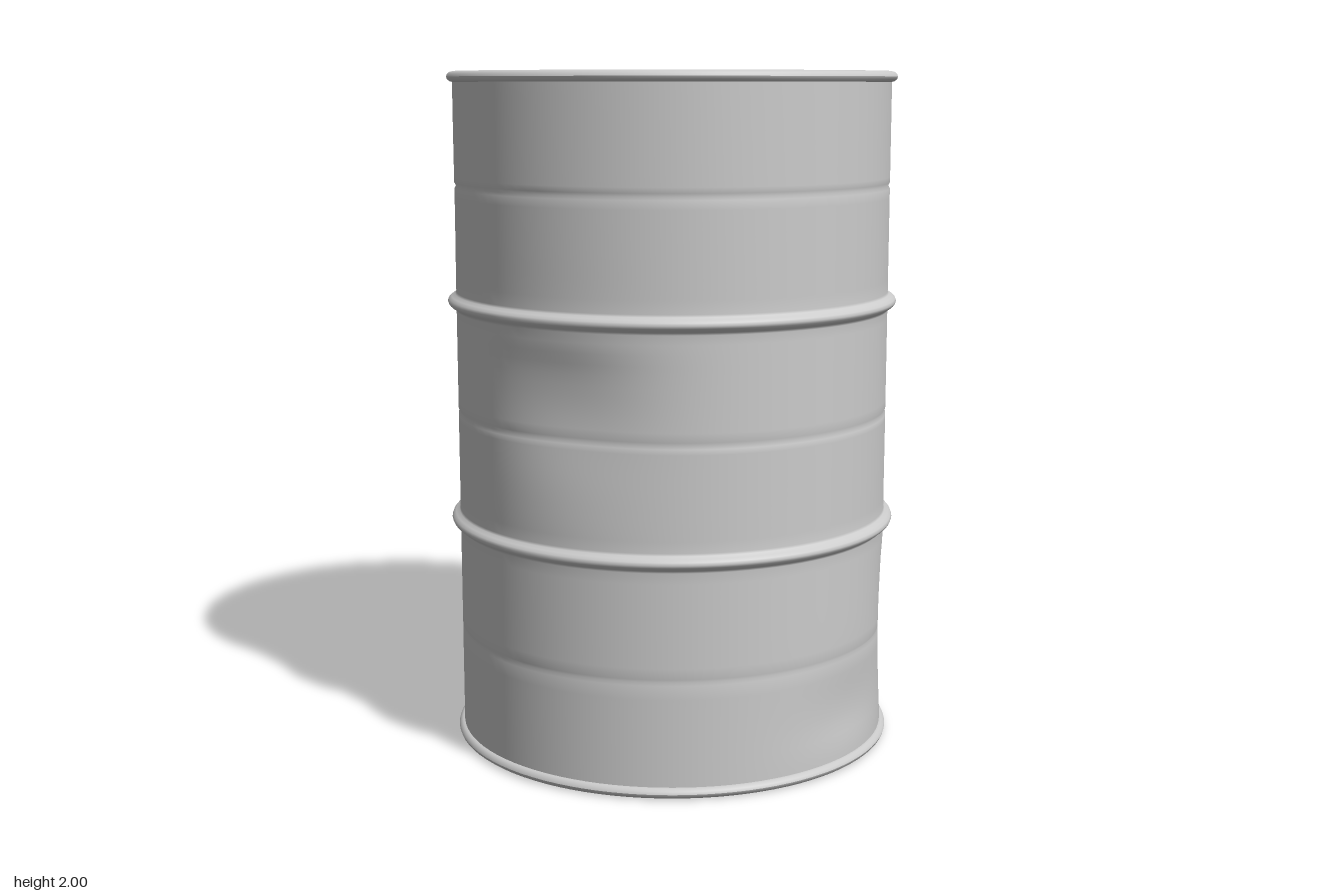
import * as THREE from 'three';
import { mergeVertices, toCreasedNormals } from 'three/addons/utils/BufferGeometryUtils.js';

const SEGMENTS = 96;
const R = 0.645;
const LID_Y = 1.975;
const RIBS = [0.675, 1.33];
const GROOVES = [0.335, 1.0, 1.67];
const material = new THREE.MeshStandardMaterial({ color: 0xcccccc, side: THREE.DoubleSide });

function addMesh(parent, name, geometry) {
  const mesh = new THREE.Mesh(geometry, material);
  mesh.name = name;
  parent.add(mesh);
  return mesh;
}

// Dents: angle from +z towards +x, height, depth, angular spread, vertical spread
const DENTS = [
  [1.5, 0.36, 0.028, 0.28, 0.15],
  [0.6, 0.18, 0.01, 0.22, 0.08],
  [-0.78, 1.08, 0.025, 0.25, 0.13],
  [2.4, 1.55, 0.012, 0.25, 0.13],
  [-2.3, 1.6, 0.008, 0.25, 0.1],
];

function dentDepth(angle, y) {
  let depth = 0;
  for (const [a, h, d, sa, sy] of DENTS) {
    const da = Math.atan2(Math.sin(angle - a), Math.cos(angle - a)) / sa;
    const dy = (y - h) / sy;
    depth += d * Math.exp(-0.5 * (da * da + dy * dy));
  }
  // Ribs and rims stay stiff
  const stiff = [0, ...RIBS, 2].reduce((m, s) => Math.min(m, Math.abs(y - s)), 1);
  return depth * THREE.MathUtils.smoothstep(stiff, 0.02, 0.14);
}

// Thin wall with two rolled ribs and three shallow pressed lines
function shellGeometry() {
  const profile = [];
  for (let y = 0.015; y < 1.985; y += 0.03) {
    const nearRib = RIBS.some((c) => Math.abs(y - c) < 0.04);
    const nearGroove = GROOVES.some((c) => Math.abs(y - c) < 0.02);
    if (!nearRib && !nearGroove) profile.push([R, y]);
  }
  for (const c of RIBS) {
    for (const [dr, dy] of [[0, 0.028], [0.003, 0.021], [0.014, 0.015], [0.022, 0.008]]) {
      profile.push([R + dr, c - dy], [R + dr, c + dy]);
    }
    profile.push([R + 0.025, c]);
  }
  for (const c of GROOVES) {
    profile.push([R, c - 0.009], [R - 0.005, c], [R, c + 0.009]);
  }
  profile.push([R, 1.985]);
  profile.sort((a, b) => a[1] - b[1]);

  let geometry = new THREE.LatheGeometry(profile.map((p) => new THREE.Vector2(...p)), SEGMENTS);
  const pos = geometry.attributes.position;
  for (let i = 0; i < pos.count; i++) {
    const x = pos.getX(i), y = pos.getY(i), z = pos.getZ(i);
    const r = Math.hypot(x, z);
    const k = (r - dentDepth(Math.atan2(x, z), y)) / r;
    pos.setX(i, x * k);
    pos.setZ(i, z * k);
  }
  geometry.deleteAttribute('uv');
  geometry.deleteAttribute('normal');
  geometry = mergeVertices(geometry, 1e-5);
  geometry.computeVertexNormals();
  return geometry;
}

// Rolled edge with an oval section
function rimGeometry() {
  const points = [];
  for (let i = 0; i <= 12; i++) {
    const a = (i / 12) * Math.PI * 2;
    points.push(new THREE.Vector2(0.641 + 0.021 * Math.cos(a), 0.016 * Math.sin(a)));
  }
  return new THREE.LatheGeometry(points, SEGMENTS);
}

// Outline of a slot, or of a cross when arms is 4
function slotPath(arms, length, w) {
  const points = [];
  for (let i = 0; i < arms; i++) {
    const a = (i / arms) * Math.PI * 2 + Math.PI / 2;
    const corners = arms === 4 ? [[length, -w], [length, w], [w, w]] : [[length, -w], [length, w]];
    for (const [u, v] of corners) {
      points.push(new THREE.Vector2(u * Math.cos(a) - v * Math.sin(a), u * Math.sin(a) + v * Math.cos(a)));
    }
  }
  return new THREE.Path(points.reverse());
}

// Screw plug: slotted disc with a bevelled edge, over a slot floor
function makePlug(name, radius, arms, slotLength, slotWidth, z) {
  const plug = new THREE.Group();
  plug.name = name;
  const shape = new THREE.Shape().absarc(0, 0, radius - 0.003, 0, Math.PI * 2);
  shape.holes.push(slotPath(arms, slotLength, slotWidth));
  const cap = new THREE.ExtrudeGeometry(shape, {
    depth: 0.012, curveSegments: 40, bevelThickness: 0.003, bevelSize: 0.003, bevelSegments: 1,
  });
  cap.rotateX(-Math.PI / 2);
  addMesh(plug, name + 'Cap', toCreasedNormals(cap, 0.5));
  const floor = new THREE.CircleGeometry(radius - 0.004, 40).rotateX(-Math.PI / 2);
  addMesh(plug, name + 'SlotFloor', floor).position.y = 0.003;
  plug.position.set(0, LID_Y, z);
  plug.rotation.y = 0.36;
  return plug;
}

export function createModel() {
  const drum = new THREE.Group();
  drum.name = 'drum';

  addMesh(drum, 'shell', shellGeometry());
  addMesh(drum, 'topRim', rimGeometry()).position.y = 1.984;
  addMesh(drum, 'bottomRim', rimGeometry()).position.y = 0.016;

  // Lid sits just below the top rim; the bottom is open
  const lid = new THREE.CircleGeometry(R - 0.005, SEGMENTS).rotateX(-Math.PI / 2);
  addMesh(drum, 'lid', lid).position.y = LID_Y;

  drum.add(makePlug('largePlug', 0.074, 4, 0.06, 0.008, 0.37));
  drum.add(makePlug('smallPlug', 0.046, 2, 0.038, 0.007, -0.377));
  return drum;
}
